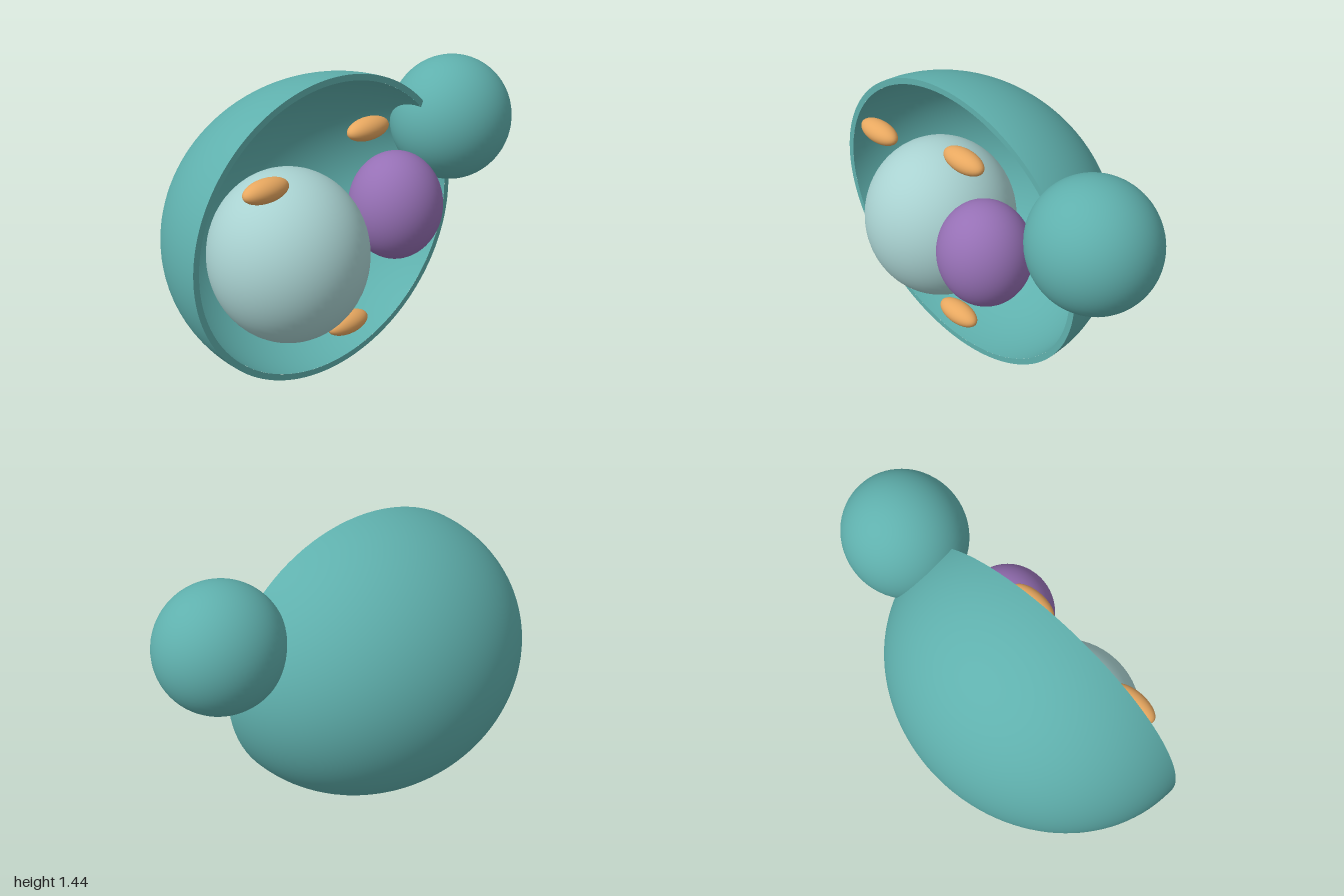
import * as THREE from 'three';

const teal = new THREE.MeshStandardMaterial({ color: 0x5fb0ad });
const tealInside = new THREE.MeshStandardMaterial({ color: 0x5fb0ad, side: THREE.BackSide });
const pale = new THREE.MeshStandardMaterial({ color: 0xa9d2d1 });
const purple = new THREE.MeshStandardMaterial({ color: 0x9670b5 });
const orange = new THREE.MeshStandardMaterial({ color: 0xe8a860 });

function part(name, geometry, material) {
  const mesh = new THREE.Mesh(geometry, material);
  mesh.name = name;
  return mesh;
}

function ellipsoid(name, material, center, radii, segments = 64) {
  const geometry = new THREE.SphereGeometry(1, segments, segments / 2);
  geometry.scale(...radii);
  const mesh = part(name, geometry, material);
  mesh.position.set(...center);
  return mesh;
}

// Half ellipsoid bulging to the back, open at the front
function halfShell(name, material, radii) {
  const geometry = new THREE.SphereGeometry(1, 96, 32, 0, Math.PI * 2, 0, Math.PI / 2);
  geometry.rotateX(-Math.PI / 2);
  geometry.scale(...radii);
  return part(name, geometry, material);
}

export function createModel() {
  const model = new THREE.Group();
  model.name = 'buddingCell';

  // Cut-open cell wall: outer and inner skins joined by a flat rim
  const outer = [0.817, 0.72, 0.72];
  const inner = [0.786, 0.69, 0.69];
  const wall = new THREE.Group();
  wall.name = 'cellWall';
  wall.position.set(-0.183, 0.72, 0.205);
  const rimShape = new THREE.Shape().absellipse(0, 0, outer[0], outer[1], 0, Math.PI * 2);
  rimShape.holes.push(new THREE.Path().absellipse(0, 0, inner[0], inner[1], 0, Math.PI * 2));
  wall.add(
    halfShell('outerWall', teal, outer),
    halfShell('innerWall', tealInside, inner),
    part('wallRim', new THREE.ShapeGeometry(rimShape, 96), teal)
  );
  model.add(wall);

  // Bud growing from the upper side
  model.add(ellipsoid('bud', teal, [0.69, 1.05, 0.156], [0.31, 0.31, 0.295]));

  // Organelles
  model.add(ellipsoid('vacuole', pale, [-0.381, 0.628, 0.12], [0.374, 0.408, 0.376]));
  model.add(ellipsoid('nucleus', purple, [0.144, 0.775, 0.295], [0.227, 0.26, 0.22]));

  // Small granules
  const granules = [[-0.642, 1.055, 0.268], [-0.02, 1.184, 0.268], [-0.118, 0.233, 0.243]];
  granules.forEach((center, i) => {
    model.add(ellipsoid(`granule${i + 1}`, orange, center, [0.123, 0.053, 0.058], 40));
  });

  return model;
}
